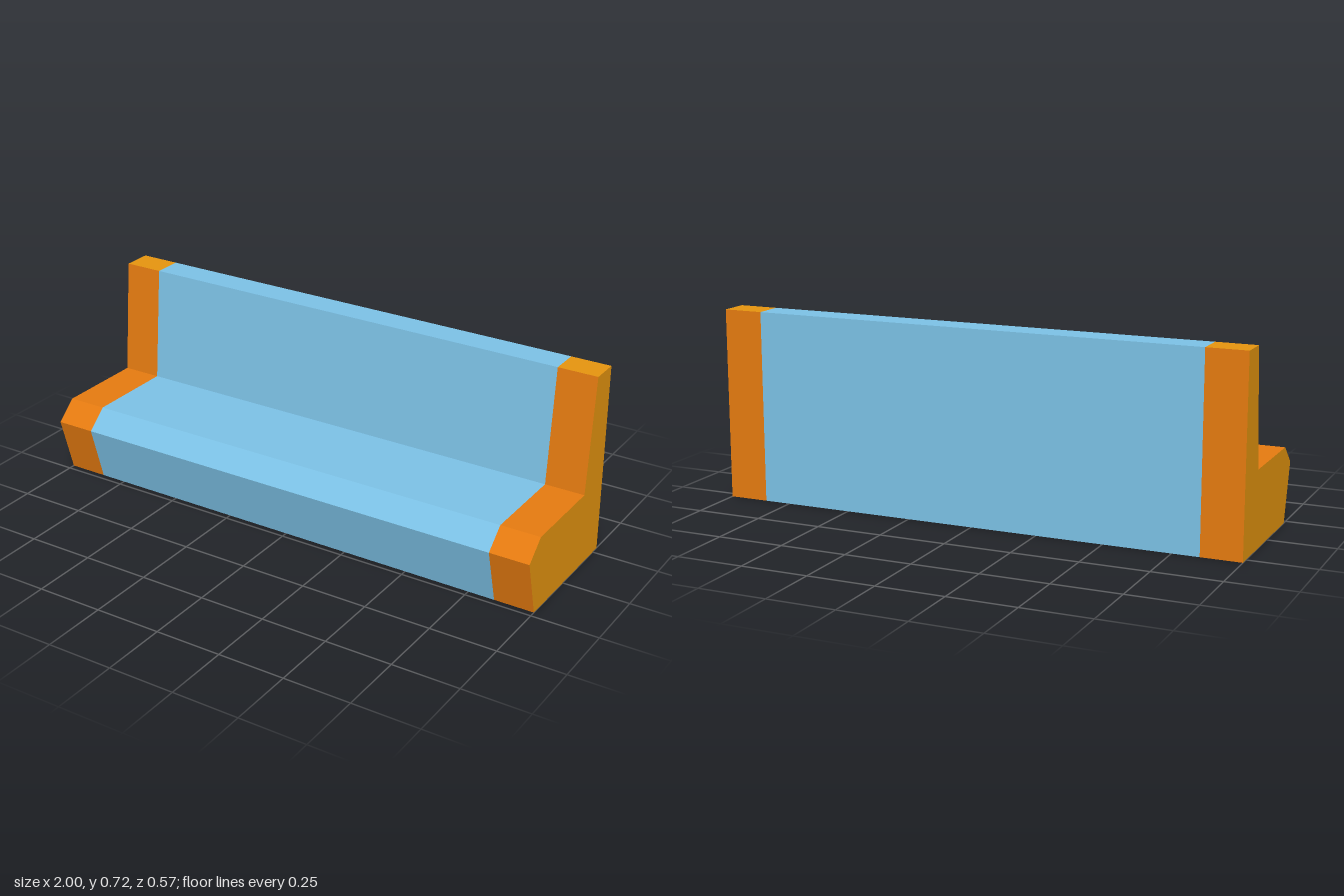
import * as THREE from 'three';

// Bench cross-section as [z, y], running from the back foot round to the back top
const PROFILE = [
  [-0.285, 0], [0.226, 0], [0.285, 0.215], [0.208, 0.284],
  [-0.135, 0.284], [-0.177, 0.717], [-0.285, 0.717],
];
const TOP_EDGE = 5;
const HALF = 1;
const INNER = 0.85;

// Open shell between two x positions, covering the chosen profile edges
function shell(x0, x1, edges) {
  const positions = [];
  for (const i of edges) {
    const [az, ay] = PROFILE[i];
    const [bz, by] = PROFILE[(i + 1) % PROFILE.length];
    positions.push(x0, ay, az, x1, ay, az, x1, by, bz);
    positions.push(x0, ay, az, x1, by, bz, x0, by, bz);
  }
  const geometry = new THREE.BufferGeometry();
  geometry.setAttribute('position', new THREE.Float32BufferAttribute(positions, 3));
  geometry.computeVertexNormals();
  return geometry;
}

// Flat end panel facing outward on the given side
function endPanel(side) {
  const shape = new THREE.Shape(PROFILE.map(([z, y]) => new THREE.Vector2(-side * z, y)));
  return new THREE.ShapeGeometry(shape).rotateY(side * Math.PI / 2).translate(side * HALF, 0, 0);
}

export function createModel() {
  const material = (name, color) => {
    const m = new THREE.MeshStandardMaterial({ color });
    m.name = name;
    return m;
  };
  const blue = material('blue upholstery', 0x7bc0e4);
  const orange = material('orange trim', 0xe47a10);
  const amber = material('amber panel', 0xe4940f);

  const bench = new THREE.Group();
  bench.name = 'bench';
  const add = (parent, name, geometry, mat) => {
    const mesh = new THREE.Mesh(geometry, mat);
    mesh.name = name;
    parent.add(mesh);
  };

  const allEdges = PROFILE.map((_, i) => i);
  const trimEdges = allEdges.filter((i) => i !== TOP_EDGE);

  // Long central seat and backrest
  add(bench, 'seatAndBackrest', shell(-INNER, INNER, allEdges), blue);

  // Mirrored end sections: trim band, top cap and outer panel
  for (const side of [-1, 1]) {
    const end = new THREE.Group();
    end.name = side > 0 ? 'leftEnd' : 'rightEnd';
    const x0 = side > 0 ? INNER : -HALF;
    const x1 = side > 0 ? HALF : -INNER;
    add(end, 'trimBand', shell(x0, x1, trimEdges), orange);
    add(end, 'topCap', shell(x0, x1, [TOP_EDGE]), amber);
    add(end, 'endPanel', endPanel(side), amber);
    bench.add(end);
  }
  return bench;
}
